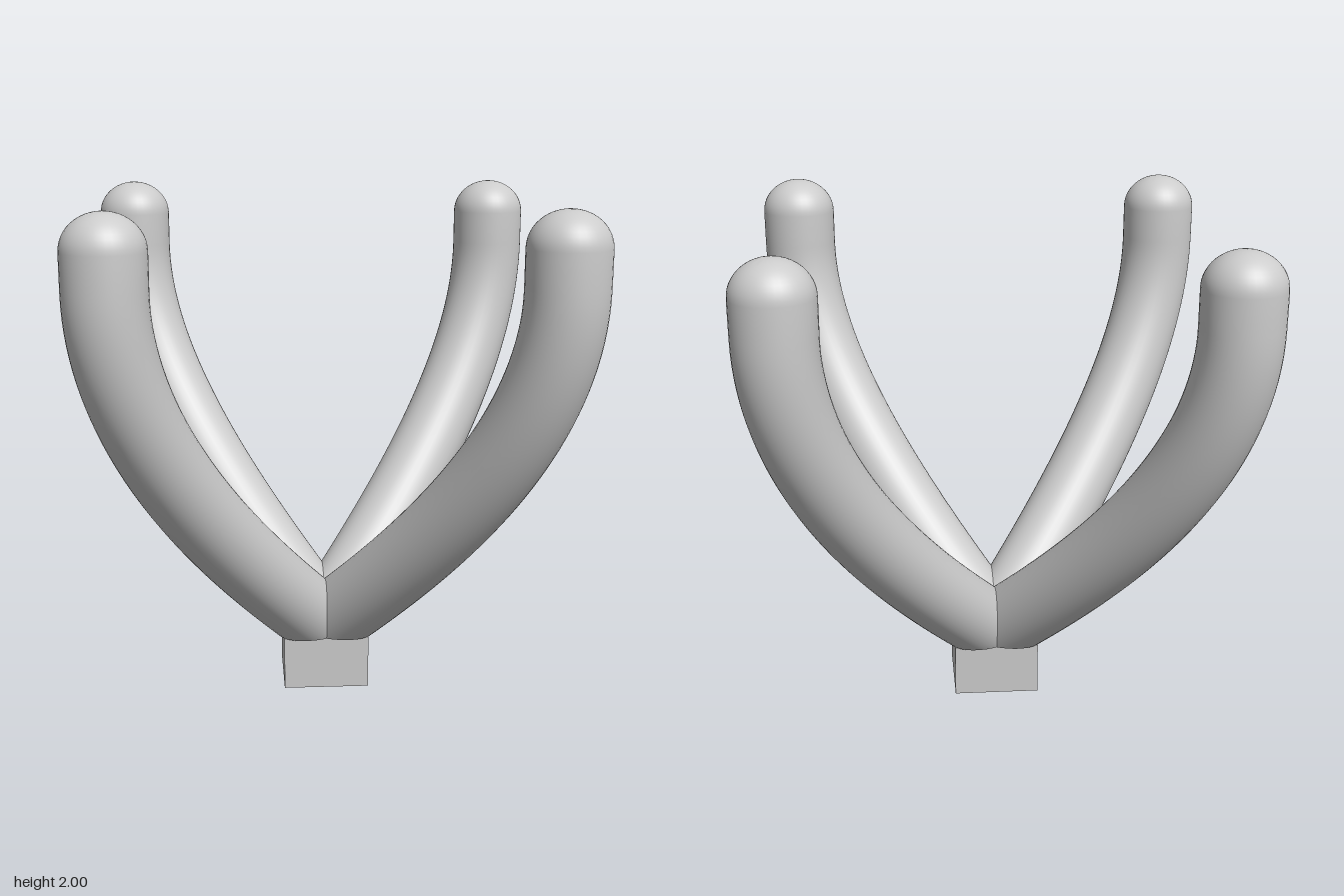
import * as THREE from 'three';
import { toCreasedNormals } from 'three/addons/utils/BufferGeometryUtils.js';

const RADIUS = 0.15, SIDES = 40, BASE_Y = 0.215, REACH = 0.79 * Math.SQRT2;

// One arm in the XY plane: bent tube, cut level at the bottom, with a domed tip
function armGeometry() {
  const path = new THREE.CubicBezierCurve3(
    new THREE.Vector3(0, BASE_Y, 0),
    new THREE.Vector3(0.4 * Math.SQRT2, 0.67, 0),
    new THREE.Vector3(REACH, 1.2, 0),
    new THREE.Vector3(REACH, 1.73, 0)
  );
  const up = new THREE.Vector3(0, 1, 0);
  const rings = [];
  const addRing = (center, tangent, radius, planeNormal = tangent) =>
    rings.push({ center, tangent, radius, planeNormal });

  // level underside, then the sections ease from the level cut to square on
  addRing(path.getPoint(0), path.getTangent(0), 0, up);
  for (let i = 0; i <= 40; i++) {
    const t = i / 40, tangent = path.getTangent(t);
    const normal = up.clone().lerp(tangent, Math.min(1, t / 0.35)).normalize();
    addRing(path.getPoint(t), tangent, RADIUS, normal);
  }
  // straight end and rounded tip
  const tipY = 1.865, tipHeight = 0.135;
  for (let i = 0; i <= 12; i++) {
    const a = (i / 12) * Math.PI / 2;
    const r = i === 12 ? 0 : RADIUS * Math.cos(a);
    addRing(new THREE.Vector3(REACH, tipY + tipHeight * Math.sin(a), 0), up, r);
  }

  const positions = [], index = [];
  rings.forEach(({ center, tangent, radius, planeNormal }, i) => {
    const side = new THREE.Vector3(tangent.y, -tangent.x, 0);
    for (let j = 0; j < SIDES; j++) {
      const a = (j / SIDES) * Math.PI * 2;
      const p = side.clone().multiplyScalar(radius * Math.cos(a));
      p.z = radius * Math.sin(a);
      // slide along the tube onto the section plane
      p.addScaledVector(tangent, -p.dot(planeNormal) / tangent.dot(planeNormal)).add(center);
      positions.push(p.x, p.y, p.z);
      if (i === rings.length - 1) continue;
      const k = (j + 1) % SIDES, low = i * SIDES, high = low + SIDES;
      if (rings[i + 1].radius > 0) index.push(low + j, high + j, high + k);
      if (radius > 0) index.push(low + j, high + k, low + k);
    }
  });
  const geometry = new THREE.BufferGeometry();
  geometry.setAttribute('position', new THREE.Float32BufferAttribute(positions, 3));
  geometry.setIndex(index);
  return toCreasedNormals(geometry, 0.6);
}

export function createModel() {
  const group = new THREE.Group();
  const material = new THREE.MeshStandardMaterial({ color: 0xcccccc });

  // square foot
  const foot = new THREE.Mesh(new THREE.BoxGeometry(0.344, BASE_Y, 0.344), material);
  foot.name = 'foot';
  foot.position.y = BASE_Y / 2;
  group.add(foot);

  // four arms on the diagonals
  const geometry = armGeometry();
  ['backLeftArm', 'backRightArm', 'frontRightArm', 'frontLeftArm'].forEach((name, i) => {
    const arm = new THREE.Mesh(geometry, material);
    arm.name = name;
    arm.rotation.y = Math.PI / 4 + i * Math.PI / 2;
    group.add(arm);
  });
  return group;
}
